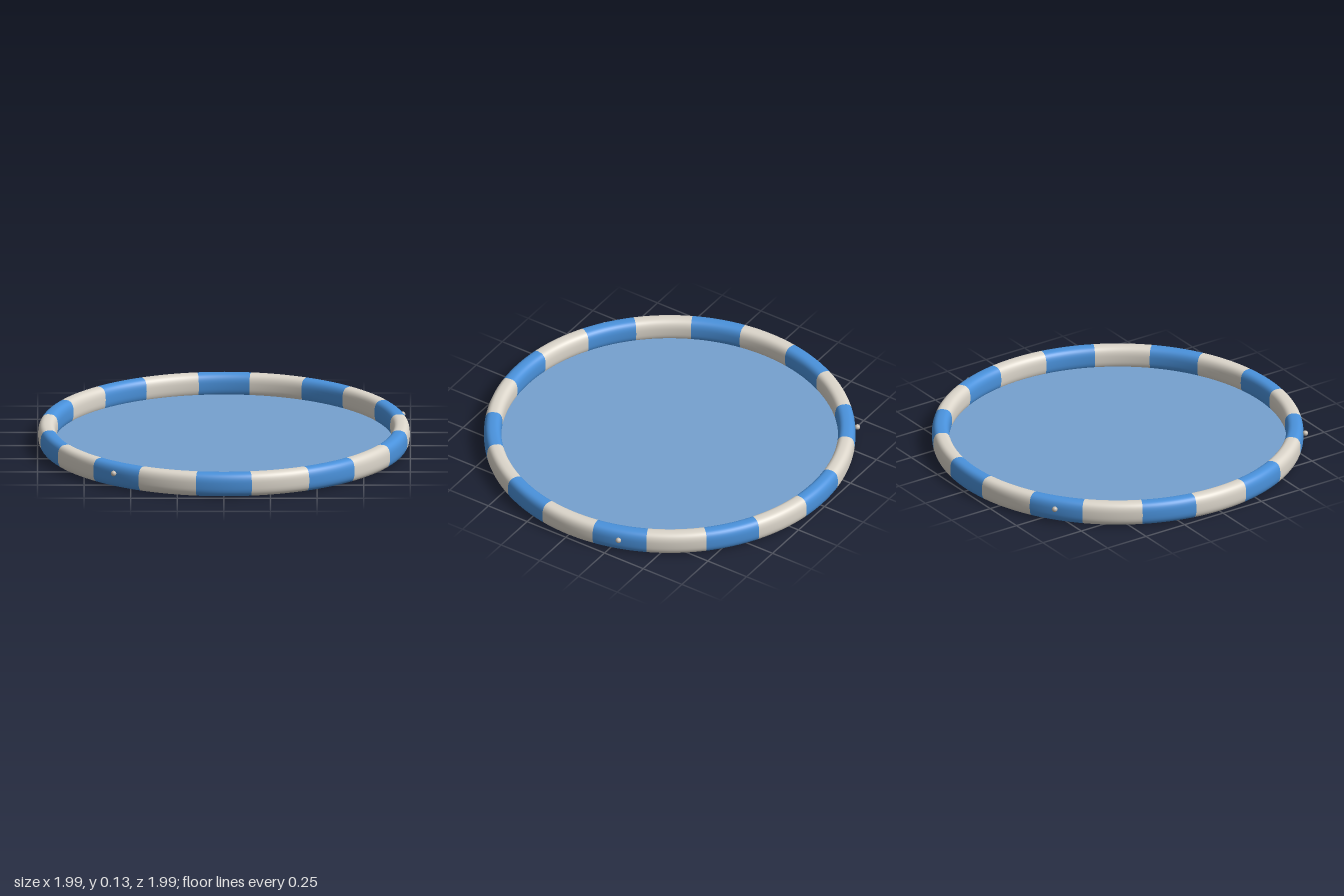
import * as THREE from 'three';

const blue = new THREE.MeshStandardMaterial({ color: 0x4a92dc });
blue.name = 'blueVinyl';
const white = new THREE.MeshStandardMaterial({ color: 0xdcd6cb });
white.name = 'whiteVinyl';
const floorBlue = new THREE.MeshStandardMaterial({ color: 0x76a1cf });
floorBlue.name = 'paleBlueFloor';
const valveGrey = new THREE.MeshStandardMaterial({ color: 0xc4bbb0 });
valveGrey.name = 'valveGrey';

const RING_RADIUS = 0.95, HALF_WIDTH = 0.047, HALF_HEIGHT = 0.065;
const deg = THREE.MathUtils.degToRad;

// Squarish oval section of the inflated ring, drawn from the bottom outwards and up
function ringProfile(steps = 40, power = 2.7) {
  const bulge = (v) => Math.sign(v) * Math.pow(Math.abs(v), 2 / power);
  return Array.from({ length: steps + 1 }, (_, i) => {
    const a = (i / steps) * Math.PI * 2 - Math.PI / 2;
    return new THREE.Vector2(
      RING_RADIUS + HALF_WIDTH * bulge(Math.cos(a)),
      HALF_HEIGHT + HALF_HEIGHT * bulge(Math.sin(a)),
    );
  });
}

function addMesh(parent, name, geometry, material) {
  const mesh = new THREE.Mesh(geometry, material);
  mesh.name = name;
  parent.add(mesh);
  return mesh;
}

// Small inflation valve pointing along +z
function makeValve() {
  const valve = new THREE.Group();
  valve.name = 'valve';
  const stem = addMesh(valve, 'valveStem', new THREE.CylinderGeometry(0.009, 0.009, 0.025, 16), valveGrey);
  stem.rotation.x = Math.PI / 2;
  stem.position.z = -0.01;
  addMesh(valve, 'valveCap', new THREE.SphereGeometry(0.015, 16, 12), valveGrey);
  return valve;
}

export function createModel() {
  const model = new THREE.Group();
  model.name = 'paddlingPool';

  // Ring of ten blue and ten white panels
  const ring = new THREE.Group();
  ring.name = 'inflatedRing';
  model.add(ring);
  const profile = ringProfile();
  const blueSpan = 17.3, period = 36;
  for (let i = 0; i < 10; i++) {
    const start = i * period - blueSpan / 2;
    addMesh(ring, 'bluePanel',
      new THREE.LatheGeometry(profile, 8, deg(start), deg(blueSpan)), blue);
    addMesh(ring, 'whitePanel',
      new THREE.LatheGeometry(profile, 8, deg(start + blueSpan), deg(period - blueSpan)), white);
  }

  // Thin floor sheet
  const floor = addMesh(model, 'floor', new THREE.CylinderGeometry(0.927, 0.927, 0.012, 120), floorBlue);
  floor.position.y = 0.012;

  // Three valves on the outer wall, each in the middle of a blue panel
  for (const angle of [108, 216, 324]) {
    const valve = makeValve();
    const a = deg(angle);
    valve.position.set(Math.sin(a) * 1.007, 0.084, Math.cos(a) * 1.007);
    valve.rotation.y = a;
    model.add(valve);
  }
  return model;
}
